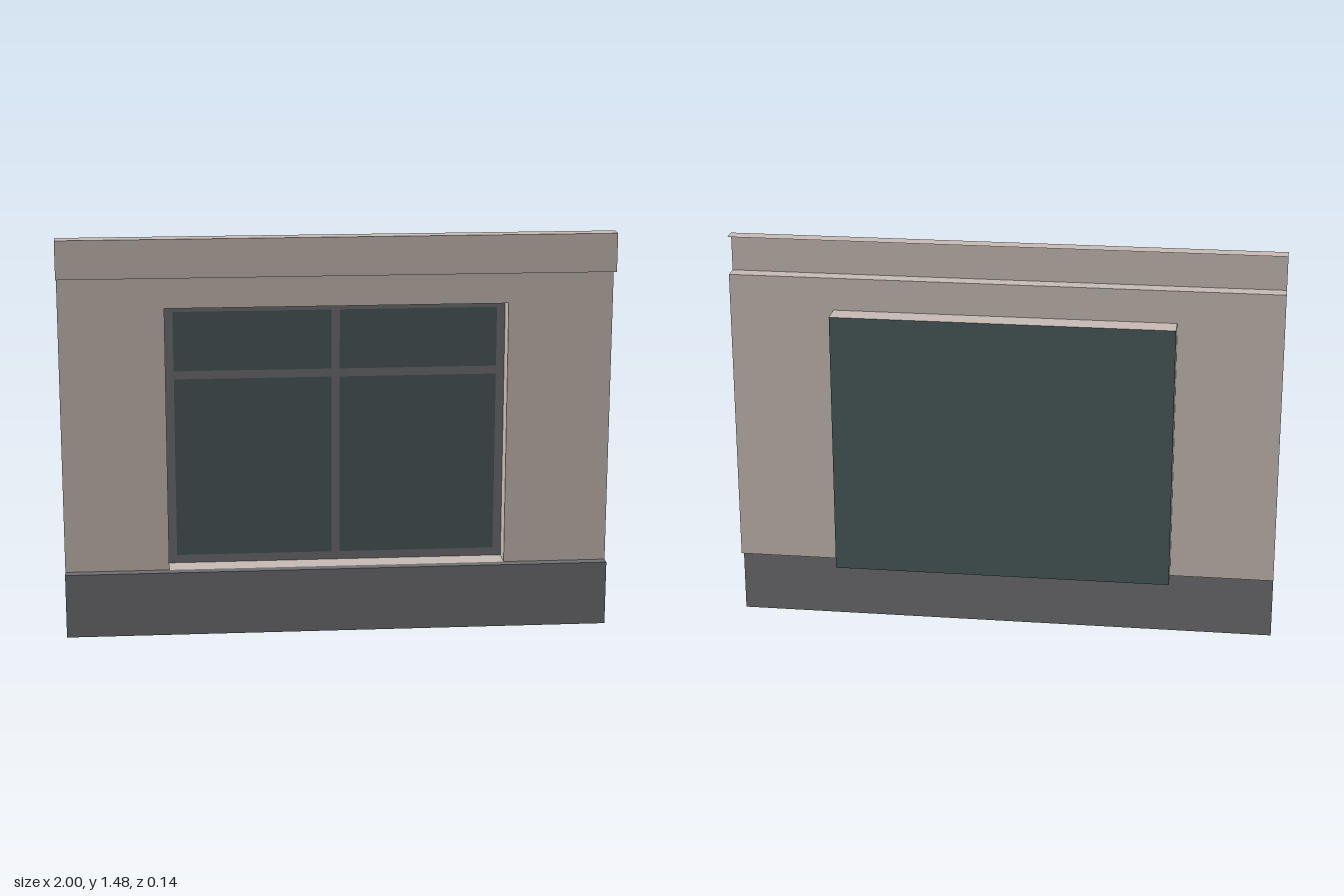
import * as THREE from 'three';

const stucco = new THREE.MeshStandardMaterial({ color: 0xc9bdb6, side: THREE.DoubleSide });
stucco.name = 'stucco';
const darkGrey = new THREE.MeshStandardMaterial({ color: 0x707073, side: THREE.DoubleSide });
darkGrey.name = 'dark grey';
const glassGreen = new THREE.MeshStandardMaterial({ color: 0x4b5a5a, side: THREE.DoubleSide });
glassGreen.name = 'glass green';

// Main dimensions
const HALF = 1, OPEN = 0.62;
const BASE = 0.24, HEAD = 1.22, WALL_TOP = 1.34, TOP = 1.48;
const WALL_Z = 0.014, PLINTH_Z = 0.05, CORNICE_Z = 0.071, FRAME_Z = -0.068, GLASS_Z = -0.071;

export function createModel() {
  const model = new THREE.Group();
  model.name = 'wallSegment';

  const add = (name, geometry, material, parent = model) => {
    const mesh = new THREE.Mesh(geometry, material);
    mesh.name = name;
    parent.add(mesh);
    return mesh;
  };

  // Upright sheet facing the front
  const upright = (name, x0, x1, y0, y1, z, material, parent) =>
    add(name, new THREE.PlaneGeometry(x1 - x0, y1 - y0), material, parent)
      .position.set((x0 + x1) / 2, (y0 + y1) / 2, z);

  // Horizontal sheet facing up (dir 1) or down (dir -1)
  const ledge = (name, halfWidth, y, z0, z1, material, parent, dir = 1) => {
    const mesh = add(name, new THREE.PlaneGeometry(halfWidth * 2, z1 - z0), material, parent);
    mesh.rotation.x = -dir * Math.PI / 2;
    mesh.position.set(0, y, (z0 + z1) / 2);
  };

  // Wall sheet with the window opening cut up from its lower edge
  const wall = new THREE.Shape([
    [-HALF, BASE], [-OPEN, BASE], [-OPEN, HEAD], [OPEN, HEAD],
    [OPEN, BASE], [HALF, BASE], [HALF, WALL_TOP], [-HALF, WALL_TOP],
  ].map(([x, y]) => new THREE.Vector2(x, y)));
  add('wall', new THREE.ShapeGeometry(wall), stucco).position.z = WALL_Z;

  // Projecting plinth
  const plinth = new THREE.Group();
  plinth.name = 'plinth';
  model.add(plinth);
  upright('plinthFace', -HALF, HALF, 0, BASE, PLINTH_Z, darkGrey, plinth);
  ledge('plinthLedge', HALF, BASE, WALL_Z, PLINTH_Z, darkGrey, plinth);

  // Cornice: a channel open at the back
  const cornice = new THREE.Group();
  cornice.name = 'cornice';
  model.add(cornice);
  upright('corniceFace', -HALF, HALF, WALL_TOP, TOP, CORNICE_Z, stucco, cornice);
  ledge('corniceTop', HALF, TOP, WALL_Z, CORNICE_Z, stucco, cornice);
  ledge('corniceSoffit', HALF, WALL_TOP, WALL_Z, CORNICE_Z, stucco, cornice, -1);

  // Reveal lining the recessed window
  const reveal = new THREE.Group();
  reveal.name = 'windowReveal';
  model.add(reveal);
  ledge('sill', OPEN, BASE, GLASS_Z, WALL_Z, stucco, reveal);
  ledge('head', OPEN, HEAD, GLASS_Z, WALL_Z, stucco, reveal, -1);
  for (const side of [-1, 1]) {
    const jamb = add(side > 0 ? 'leftJamb' : 'rightJamb',
      new THREE.PlaneGeometry(WALL_Z - GLASS_Z, HEAD - BASE), stucco, reveal);
    jamb.rotation.y = -side * Math.PI / 2;
    jamb.position.set(side * OPEN, (BASE + HEAD) / 2, (WALL_Z + GLASS_Z) / 2);
  }

  // Window: one glass sheet behind a flat frame with four panes
  const win = new THREE.Group();
  win.name = 'window';
  model.add(win);
  upright('glass', -OPEN, OPEN, BASE, HEAD, GLASS_Z, glassGreen, win);

  const rect = (path, x0, x1, y0, y1) =>
    path.moveTo(x0, y0).lineTo(x1, y0).lineTo(x1, y1).lineTo(x0, y1).closePath();
  const frame = new THREE.Shape();
  rect(frame, -OPEN, OPEN, BASE, HEAD);
  for (const [x0, x1] of [[-0.59, -0.015], [0.015, 0.59]]) {
    for (const [y0, y1] of [[0.27, 0.94], [0.97, 1.19]]) {
      const pane = new THREE.Path();
      rect(pane, x0, x1, y0, y1);
      frame.holes.push(pane);
    }
  }
  add('windowFrame', new THREE.ShapeGeometry(frame), darkGrey, win).position.z = FRAME_Z;

  return model;
}
